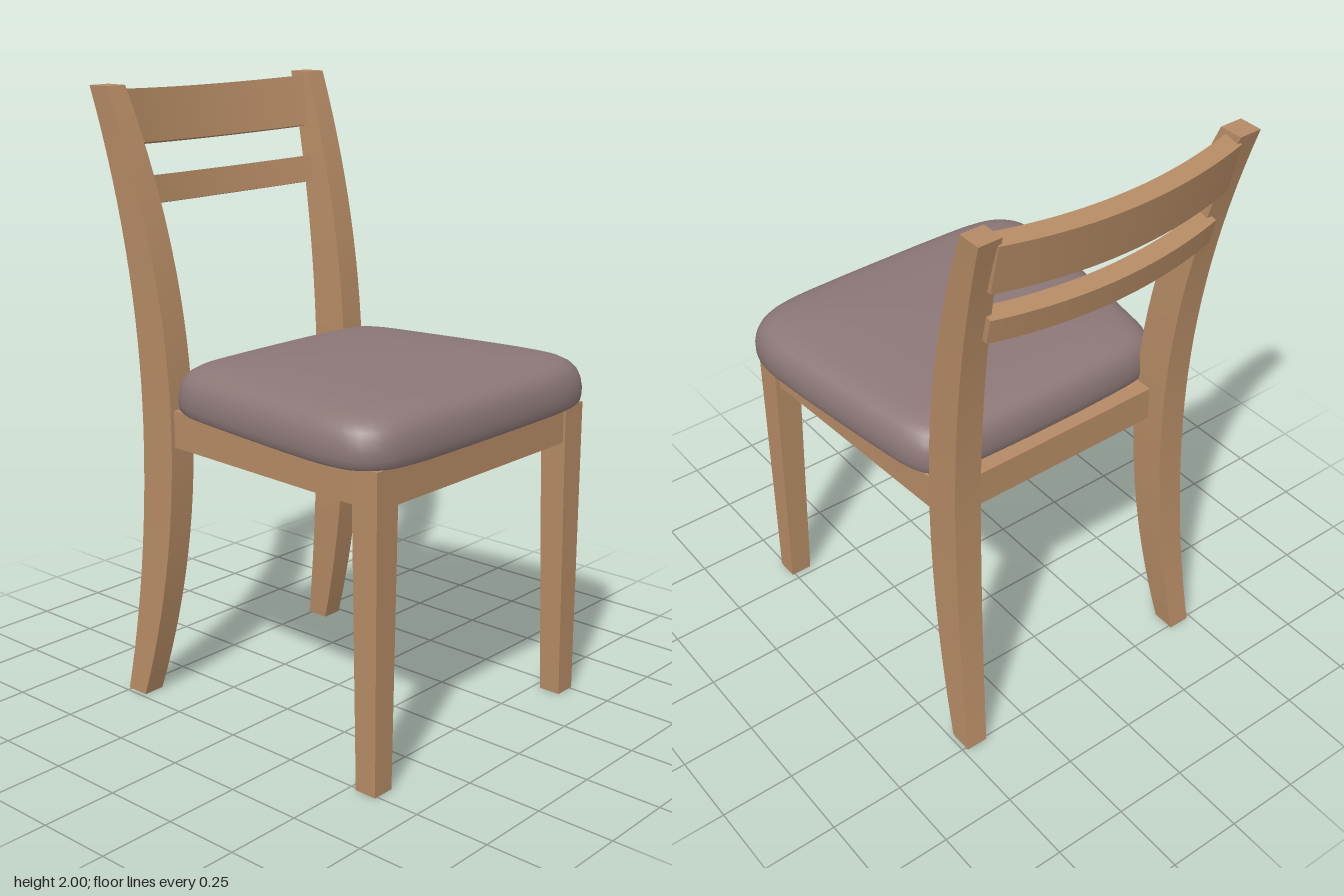
import * as THREE from 'three';

const wood = new THREE.MeshStandardMaterial({ color: 0xb48a64 });
wood.name = 'wood';
const fabric = new THREE.MeshStandardMaterial({ color: 0x8c7777 });
fabric.name = 'seatFabric';

function toGeometry(positions, index) {
  const g = new THREE.BufferGeometry();
  g.setAttribute('position', new THREE.Float32BufferAttribute(positions, 3));
  g.setIndex(index);
  g.computeVertexNormals();
  return g;
}

// Skin four-cornered sections: smooth along the length, sharp at the four edges.
// Corners run counter-clockwise when looking back along the sweep.
function sweep(sections) {
  const pos = [], idx = [];
  for (let j = 0; j < 4; j++) {
    const base = pos.length / 3;
    sections.forEach((s, i) => {
      pos.push(...s[j], ...s[(j + 1) % 4]);
      if (i === 0) return;
      const a = base + (i - 1) * 2;
      idx.push(a, a + 1, a + 3, a, a + 3, a + 2);
    });
  }
  const start = pos.length / 3;
  pos.push(...sections[0].flat(), ...sections[sections.length - 1].flat());
  idx.push(start, start + 2, start + 1, start, start + 3, start + 2);
  idx.push(start + 4, start + 5, start + 6, start + 4, start + 6, start + 7);
  return toGeometry(pos, idx);
}

// Horizontal rectangular section
function rect(xa, xb, zBack, zFront, y) {
  const x0 = Math.min(xa, xb), x1 = Math.max(xa, xb);
  return [[x0, y, zFront], [x1, y, zFront], [x1, y, zBack], [x0, y, zBack]];
}

// Back post: bends parabolically backward and outward from seat height
function backLeg(side) {
  const sections = [], steps = 28, bend = 0.92;
  for (let i = 0; i <= steps; i++) {
    const y = (2 * i) / steps;
    const up = y > bend;
    const t = ((y - bend) / (up ? 2 - bend : bend)) ** 2;
    const front = -0.295 - t * (up ? 0.217 : 0.135);
    const back = -0.427 - t * (up ? 0.163 : 0.083);
    const inner = 0.365 + t * (up ? 0.05 : 0.045);
    const outer = 0.46 + t * (up ? 0.032 : 0.025);
    sections.push(rect(side * inner, side * outer, back, front, y));
  }
  return sweep(sections);
}

// Straight front leg, tapering on its two inner faces
function frontLeg(side) {
  return sweep([
    rect(side * 0.435, side * 0.51, 0.525, 0.6, 0),
    rect(side * 0.415, side * 0.51, 0.505, 0.6, 1),
  ]);
}

// Tilted rail bowed backward; y and z locate its lower front edge at the middle
function rail(halfWidth, y, z, height, depth, bow) {
  const tilt = 0.21, s = Math.sin(tilt), c = Math.cos(tilt);
  const sections = [], steps = 24;
  for (let i = 0; i <= steps; i++) {
    const u = (2 * i) / steps - 1;
    const at = (up, back) => {
      const b = back - bow * u * u;
      return [u * halfWidth, y + up * c - b * s, z - up * s - b * c];
    };
    sections.push([at(0, 0), at(0, depth), at(height, depth), at(height, 0)]);
  }
  return sweep(sections);
}

// Cushion: a rounded trapezoid outline scaled through a domed profile
function cushion() {
  const half = [
    [0, -0.322], [0.2, -0.32], [0.37, -0.308], [0.44, -0.28], [0.475, -0.22],
    [0.5, -0.09], [0.53, 0.12], [0.555, 0.32], [0.564, 0.45], [0.547, 0.55],
    [0.49, 0.608], [0.4, 0.632], [0.2, 0.641], [0, 0.642],
  ];
  const mirrored = half.slice(1, -1).reverse().map(([x, z]) => [-x, z]);
  const points = [...half, ...mirrored].map(([x, z]) => new THREE.Vector3(x, 0, z));
  const n = 120, midZ = 0.16;
  const outline = new THREE.CatmullRomCurve3(points, true).getSpacedPoints(n).slice(0, n);

  // [scale, height]; the repeated ring keeps the lower edge sharp
  const profile = [
    [0, 1], [0.978, 1], [0.978, 1], [0.992, 1.008], [1, 1.03], [1, 1.055],
    [0.992, 1.083], [0.973, 1.108], [0.943, 1.128], [0.9, 1.142], [0.83, 1.153],
    [0.7, 1.163], [0.5, 1.171], [0.25, 1.175], [0.01, 1.176], [0, 1.176],
  ];
  const pos = [], idx = [];
  profile.forEach(([s, y], i) => {
    outline.forEach((p, j) => {
      pos.push(p.x * s, y, midZ + (p.z - midZ) * s);
      if (i === 0 || i === 2) return;
      const a = (i - 1) * n + j, b = (i - 1) * n + ((j + 1) % n);
      idx.push(a, a + n, b + n, a, b + n, b);
    });
  });
  return toGeometry(pos, idx);
}

// Seat base: solid trapezoid between the legs
function seatBase() {
  const level = (y) => [[-0.5, y, 0.592], [0.5, y, 0.592], [0.445, y, -0.305], [-0.445, y, -0.305]];
  return sweep([level(0.88), level(1)]);
}

export function createModel() {
  const group = new THREE.Group();
  const add = (name, geometry, material) => {
    const mesh = new THREE.Mesh(geometry, material);
    mesh.name = name;
    group.add(mesh);
    return mesh;
  };

  for (const [side, label] of [[1, 'Left'], [-1, 'Right']]) {
    add('frontLeg' + label, frontLeg(side), wood);
    add('backLeg' + label, backLeg(side), wood);
  }
  add('seatBase', seatBase(), wood);
  add('backApron', new THREE.BoxGeometry(0.76, 0.12, 0.07), wood).position.set(0, 0.94, -0.325);
  add('topRail', rail(0.425, 1.81, -0.548, 0.17, 0.06, 0.055), wood);
  add('lowerRail', rail(0.41, 1.622, -0.505, 0.088, 0.06, 0.05), wood);
  add('seatCushion', cushion(), fabric);
  return group;
}
